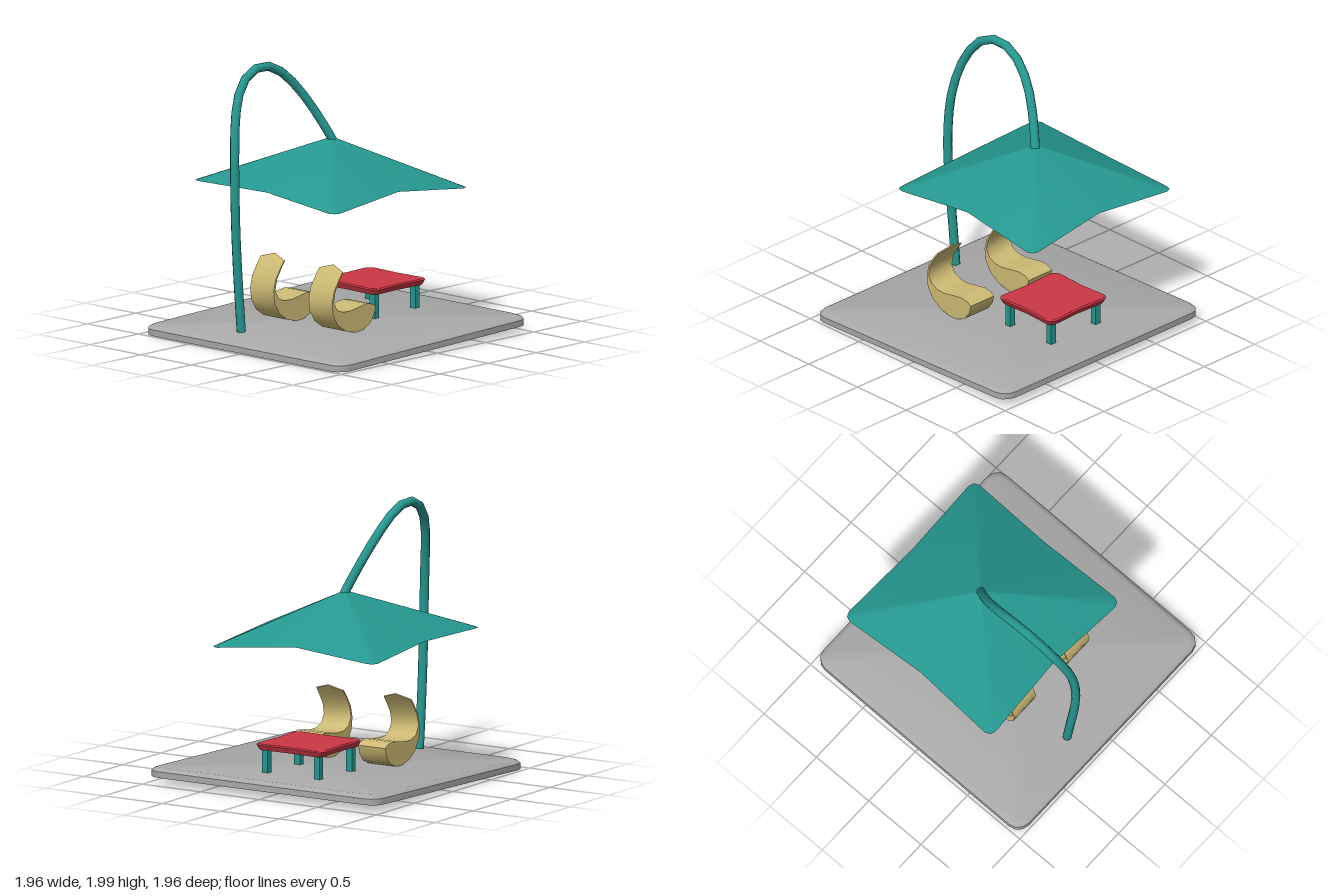
import * as THREE from 'three';
import { toCreasedNormals } from 'three/addons/utils/BufferGeometryUtils.js';

const V = (x, y, z) => new THREE.Vector3(x, y, z);

// Rounded rectangle at height y, with edge midpoints pulled in by pinch
function roundedRing(half, y, r, pinch = 0, segs = 3) {
  const pts = [];
  for (let q = 0; q < 4; q++) {
    const mid = q * Math.PI / 2;
    pts.push(V(Math.cos(mid) * (half - pinch), y, Math.sin(mid) * (half - pinch)));
    const corner = mid + Math.PI / 4, c = (half - r) * Math.SQRT2;
    for (let i = 0; i <= segs; i++) {
      const a = mid + i / segs * Math.PI / 2;
      pts.push(V(Math.cos(corner) * c + Math.cos(a) * r, y, Math.sin(corner) * c + Math.sin(a) * r));
    }
  }
  return pts;
}

// Single point repeated, to close a loft
const point = (x, y, z, n) => Array.from({ length: n }, () => V(x, y, z));

// Skin between successive rings, listed from bottom to top
function loft(rings, crease, flip = false) {
  const pos = [];
  const tri = (a, b, c) => {
    if (a.equals(b) || b.equals(c) || a.equals(c)) return;
    for (const p of flip ? [a, c, b] : [a, b, c]) pos.push(p.x, p.y, p.z);
  };
  for (let i = 0; i + 1 < rings.length; i++) {
    const lo = rings[i], up = rings[i + 1], n = lo.length;
    for (let j = 0; j < n; j++) {
      const k = (j + 1) % n;
      tri(lo[j], up[j], lo[k]);
      tri(lo[k], up[j], up[k]);
    }
  }
  const g = new THREE.BufferGeometry();
  g.setAttribute('position', new THREE.Float32BufferAttribute(pos, 3));
  return toCreasedNormals(g, crease);
}

export function createModel() {
  const model = new THREE.Group();
  const material = (name, color, side = THREE.FrontSide) =>
    new THREE.MeshStandardMaterial({ name, color, side });
  const teal = material('teal', 0x259790, THREE.DoubleSide);
  const red = material('red', 0xcc3744);
  const grey = material('grey', 0xa9a9a9, THREE.DoubleSide);
  const straw = material('straw', 0xcdba74);
  const add = (name, geometry, mat, parent = model) => {
    const mesh = new THREE.Mesh(geometry, mat);
    mesh.name = name;
    parent.add(mesh);
    return mesh;
  };

  // Patio slab: hollow shell, open below, rising gently towards +x
  const slabRings = [
    roundedRing(0.98, 0, 0.1),
    roundedRing(0.98, 0.045, 0.1),
    roundedRing(0.965, 0.06, 0.09),
    roundedRing(0.94, 0.07, 0.08),
    point(0, 0.07, 0, 20),
  ];
  slabRings.flat().forEach((p) => { p.y += 0.0285 * (p.x + 0.98); });
  add('slab', loft(slabRings, 0.7), grey);

  // Curved parasol pole
  const path = new THREE.CatmullRomCurve3([
    V(-0.757, 0.095, -0.215), V(-0.79, 0.45, -0.213), V(-0.82, 0.8, -0.207),
    V(-0.831, 1.12, -0.207), V(-0.815, 1.42, -0.225), V(-0.77, 1.64, -0.26),
    V(-0.7, 1.8, -0.295), V(-0.58, 1.925, -0.32), V(-0.41, 1.967, -0.33),
    V(-0.25, 1.91, -0.32), V(-0.1, 1.77, -0.285), V(0.03, 1.57, -0.22),
    V(0.125, 1.37, -0.15),
  ]);
  add('pole', new THREE.TubeGeometry(path, 22, 0.033, 10), teal);

  // Canopy: four-sided, drooping corners, with a red lining
  const canopyRings = (drop) => {
    const rim = roundedRing(0.7, 0, 0.055, 0.035, 2);
    for (const p of rim) {
      const isMid = Math.min(Math.abs(p.x), Math.abs(p.z)) < 0.1;
      const cornerY = p.z > 0 ? (p.x > 0 ? 1.02 : 1.035) : (p.x > 0 ? 1.045 : 1.085);
      p.set(p.x + 0.11, (isMid ? 1.09 : cornerY) - drop, p.z - 0.155);
    }
    return [rim, point(0.12, 1.395 - drop, -0.155, rim.length)];
  };
  const canopy = new THREE.Group();
  canopy.name = 'canopy';
  model.add(canopy);
  add('canopyTop', loft(canopyRings(0), 0.3), teal, canopy);
  add('canopyLining', loft(canopyRings(0.006), 0.3, true), red, canopy);

  // Low table
  const table = new THREE.Group();
  table.name = 'table';
  table.position.set(0.42, 0, -0.042);
  model.add(table);
  const top = add('tableTop', loft([
    point(0, 0.285, 0, 20),
    roundedRing(0.265, 0.285, 0.05, 0.01),
    roundedRing(0.283, 0.322, 0.06, 0.012),
    roundedRing(0.272, 0.33, 0.05, 0.012),
    point(0, 0.33, 0, 20),
  ], 0.6), red, table);
  top.scale.set(0.985, 1, 1.03);
  for (const sx of [-1, 1]) for (const sz of [-1, 1]) {
    const leg = add('tableLeg', new THREE.BoxGeometry(0.046, 0.19, 0.05), teal, table);
    leg.position.set(sx * 0.21, sx > 0 ? 0.2 : 0.193, sz * 0.222);
  }

  // Lounge chairs: curved side profile swept across, with a peaked headrest
  const outer = [[-0.305, 0.588], [-0.365, 0.51], [-0.42, 0.425], [-0.441, 0.34],
    [-0.43, 0.25], [-0.38, 0.17], [-0.3, 0.115], [-0.2, 0.09], [-0.12, 0.098],
    [-0.05, 0.13], [-0.005, 0.19], [0.01, 0.25]];
  const inner = [[-0.02, 0.272], [-0.08, 0.283], [-0.16, 0.272], [-0.25, 0.256],
    [-0.33, 0.258], [-0.39, 0.285], [-0.423, 0.345], [-0.405, 0.425], [-0.352, 0.51],
    [-0.298, 0.582]];
  const profile = new THREE.Shape([...outer, ...inner].map(([x, y]) => new THREE.Vector2(x, y)));
  const width = 0.232;
  let chairGeo = new THREE.ExtrudeGeometry(profile, { depth: width, steps: 2, bevelEnabled: false });
  chairGeo.translate(0, 0, -width / 2);
  const cp = chairGeo.attributes.position;
  for (let i = 0; i < cp.count; i++) {
    if (cp.getY(i) > 0.55 && Math.abs(cp.getZ(i)) > 0.05) {
      cp.setXY(i, cp.getX(i) - 0.025, cp.getY(i) - 0.034);
    }
  }
  chairGeo = toCreasedNormals(chairGeo, 0.75);
  for (const z of [0.265, -0.312]) add('loungeChair', chairGeo, straw).position.z = z;

  return model;
}
